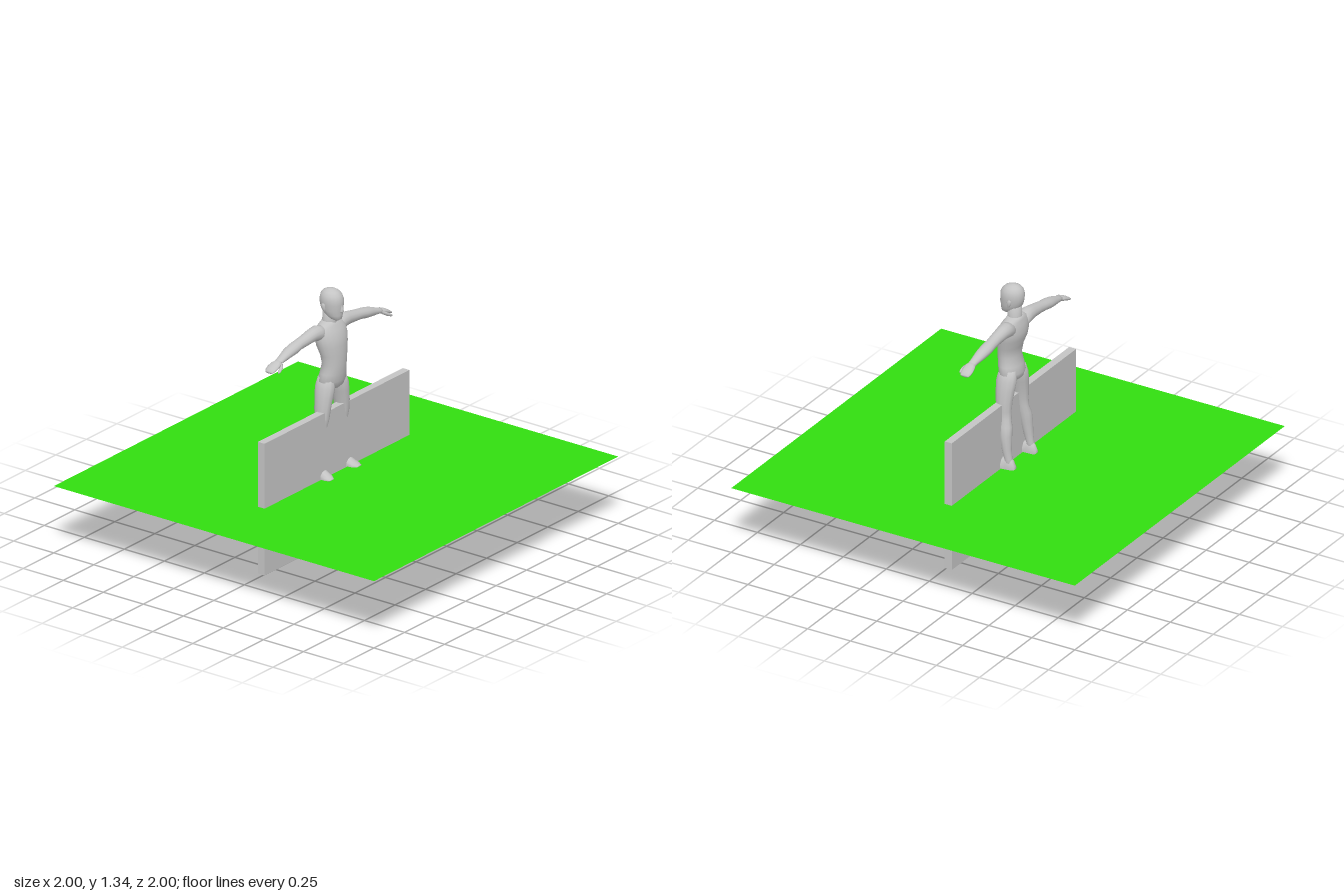
import * as THREE from 'three';

// Skin elliptical sections [y, centreX, centreZ, radiusX, radiusZ], rising in y, with closed ends
function loft(sections, sides = 14) {
  const pos = [], index = [], n = sections.length;
  for (const [y, cx, cz, rx, rz] of sections) {
    for (let j = 0; j < sides; j++) {
      const a = (j / sides) * Math.PI * 2;
      pos.push(cx + rx * Math.cos(a), y, cz + rz * Math.sin(a));
    }
  }
  for (const s of [sections[0], sections[n - 1]]) pos.push(s[1], s[0], s[2]);
  const low = n * sides, high = low + 1;
  for (let j = 0; j < sides; j++) {
    const k = (j + 1) % sides;
    for (let i = 0; i < n - 1; i++) {
      const a = i * sides + j, b = i * sides + k, c = a + sides, d = b + sides;
      index.push(a, c, b, b, c, d);
    }
    const t = (n - 1) * sides;
    index.push(low, j, k, high, t + k, t + j);
  }
  const g = new THREE.BufferGeometry();
  g.setAttribute('position', new THREE.Float32BufferAttribute(pos, 3));
  g.setIndex(index);
  g.computeVertexNormals();
  return g;
}

// Sections along x: [x, centreY, centreZ, radiusY, radiusZ]
const loftX = (s, sides) =>
  loft(s.map(([x, y, z, ry, rz]) => [x, -y, z, ry, rz]), sides).rotateZ(-Math.PI / 2);

// Sections along z: [z, centreX, centreY, radiusX, radiusY]
const loftZ = (s, sides) =>
  loft(s.map(([z, x, y, rx, ry]) => [z, x, -y, rx, ry]), sides).rotateX(Math.PI / 2);

export function createModel() {
  const model = new THREE.Group();
  const grey = new THREE.MeshStandardMaterial({ color: 0xc4c4c4 });
  grey.name = 'plain grey';
  const green = new THREE.MeshStandardMaterial({ color: 0x32de10, side: THREE.DoubleSide });
  green.name = 'grass green';

  const add = (name, geometry, material = grey, parent = model) => {
    const mesh = new THREE.Mesh(geometry, material);
    mesh.name = name;
    parent.add(mesh);
    return mesh;
  };

  // Ground sheet and the wall that passes through it
  add('ground', new THREE.PlaneGeometry(2, 2).rotateX(-Math.PI / 2), green).position.y = 0.36;
  add('wall', new THREE.BoxGeometry(1.185, 0.71, 0.041)).position.set(-0.002, 0.355, -0.013);

  const figure = new THREE.Group();
  figure.name = 'figure';
  model.add(figure);

  // Torso from crotch to base of neck
  add('torso', loft([
    [0.815, 0, -0.025, 0.03, 0.035],
    [0.83, 0, -0.025, 0.07, 0.052],
    [0.86, 0, -0.025, 0.088, 0.06],
    [0.90, 0, -0.018, 0.08, 0.059],
    [0.95, 0, -0.01, 0.073, 0.055],
    [1.00, 0, -0.014, 0.083, 0.058],
    [1.05, 0, -0.025, 0.097, 0.066],
    [1.09, 0, -0.031, 0.104, 0.066],
    [1.13, 0, -0.036, 0.102, 0.054],
    [1.152, 0, -0.04, 0.085, 0.042],
    [1.17, 0, -0.042, 0.042, 0.036],
  ], 20), grey, figure);

  add('neck', loft([
    [1.13, 0, -0.042, 0.05, 0.043],
    [1.17, 0, -0.04, 0.038, 0.037],
    [1.23, 0, -0.036, 0.038, 0.038],
  ], 16), grey, figure);

  // Head from chin to crown
  add('head', loft([
    [1.181, 0, 0.002, 0.016, 0.018],
    [1.19, 0, -0.002, 0.029, 0.034],
    [1.21, 0, -0.014, 0.042, 0.048],
    [1.235, 0, -0.023, 0.049, 0.059],
    [1.265, 0, -0.026, 0.053, 0.064],
    [1.29, 0, -0.027, 0.055, 0.064],
    [1.312, 0, -0.029, 0.049, 0.057],
    [1.328, 0, -0.031, 0.037, 0.043],
    [1.337, 0, -0.032, 0.021, 0.025],
    [1.34, 0, -0.032, 0.005, 0.006],
  ], 20), grey, figure);

  add('nose', loft([
    [1.226, 0, 0.034, 0.009, 0.006],
    [1.232, 0, 0.036, 0.01, 0.011],
    [1.25, 0, 0.035, 0.006, 0.008],
    [1.268, 0, 0.033, 0.004, 0.004],
  ], 8), grey, figure);

  // Limbs are modelled on the left and mirrored to the right
  for (const [label, side] of [['left', 1], ['right', -1]]) {
    const half = new THREE.Group();
    half.name = label + 'Side';
    half.scale.x = side;
    figure.add(half);

    add(label + 'Ear', loft([
      [1.232, 0.05, -0.034, 0.004, 0.006],
      [1.245, 0.053, -0.036, 0.005, 0.01],
      [1.262, 0.055, -0.039, 0.005, 0.013],
      [1.272, 0.053, -0.039, 0.003, 0.008],
    ], 8), grey, half);

    add(label + 'Arm', loftX([
      [0.05, 1.115, -0.042, 0.04, 0.04],
      [0.10, 1.127, -0.046, 0.04, 0.04],
      [0.14, 1.127, -0.047, 0.034, 0.036],
      [0.20, 1.119, -0.047, 0.03, 0.032],
      [0.25, 1.112, -0.049, 0.027, 0.031],
      [0.29, 1.105, -0.048, 0.028, 0.034],
      [0.34, 1.096, -0.047, 0.025, 0.03],
      [0.40, 1.081, -0.044, 0.016, 0.022],
      [0.42, 1.076, -0.043, 0.014, 0.021],
    ]), grey, half);

    add(label + 'Hand', loftX([
      [0.41, 1.078, -0.043, 0.014, 0.02],
      [0.435, 1.071, -0.043, 0.015, 0.03],
      [0.46, 1.061, -0.045, 0.013, 0.032],
      [0.48, 1.052, -0.046, 0.01, 0.029],
      [0.49, 1.046, -0.046, 0.006, 0.023],
    ], 10), grey, half);

    add(label + 'Thumb', loftX([
      [0.41, 1.073, -0.03, 0.009, 0.01],
      [0.432, 1.06, -0.012, 0.01, 0.011],
      [0.455, 1.049, -0.006, 0.008, 0.009],
      [0.465, 1.044, -0.005, 0.004, 0.004],
    ], 8), grey, half);

    add(label + 'Leg', loft([
      [0.375, 0.105, -0.07, 0.019, 0.024],
      [0.42, 0.104, -0.065, 0.019, 0.021],
      [0.47, 0.103, -0.055, 0.024, 0.026],
      [0.54, 0.099, -0.047, 0.032, 0.033],
      [0.59, 0.092, -0.041, 0.031, 0.037],
      [0.63, 0.084, -0.029, 0.027, 0.038],
      [0.67, 0.081, -0.026, 0.031, 0.041],
      [0.72, 0.077, -0.025, 0.035, 0.045],
      [0.78, 0.066, -0.025, 0.04, 0.051],
      [0.83, 0.055, -0.026, 0.042, 0.055],
      [0.88, 0.046, -0.026, 0.034, 0.045],
    ], 12), grey, half);

    // Foot: rounded top, sole pressed flat
    const foot = loftZ([
      [-0.104, 0.102, 0.365, 0.014, 0.018],
      [-0.09, 0.102, 0.365, 0.022, 0.05],
      [-0.06, 0.104, 0.365, 0.025, 0.064],
      [-0.03, 0.105, 0.365, 0.028, 0.052],
      [0.01, 0.106, 0.365, 0.034, 0.037],
      [0.04, 0.11, 0.365, 0.032, 0.019],
      [0.06, 0.113, 0.365, 0.018, 0.006],
    ], 12);
    const p = foot.attributes.position;
    for (let i = 0; i < p.count; i++) p.setY(i, Math.max(p.getY(i), 0.365));
    foot.computeVertexNormals();
    add(label + 'Foot', foot, grey, half);
  }
  return model;
}
